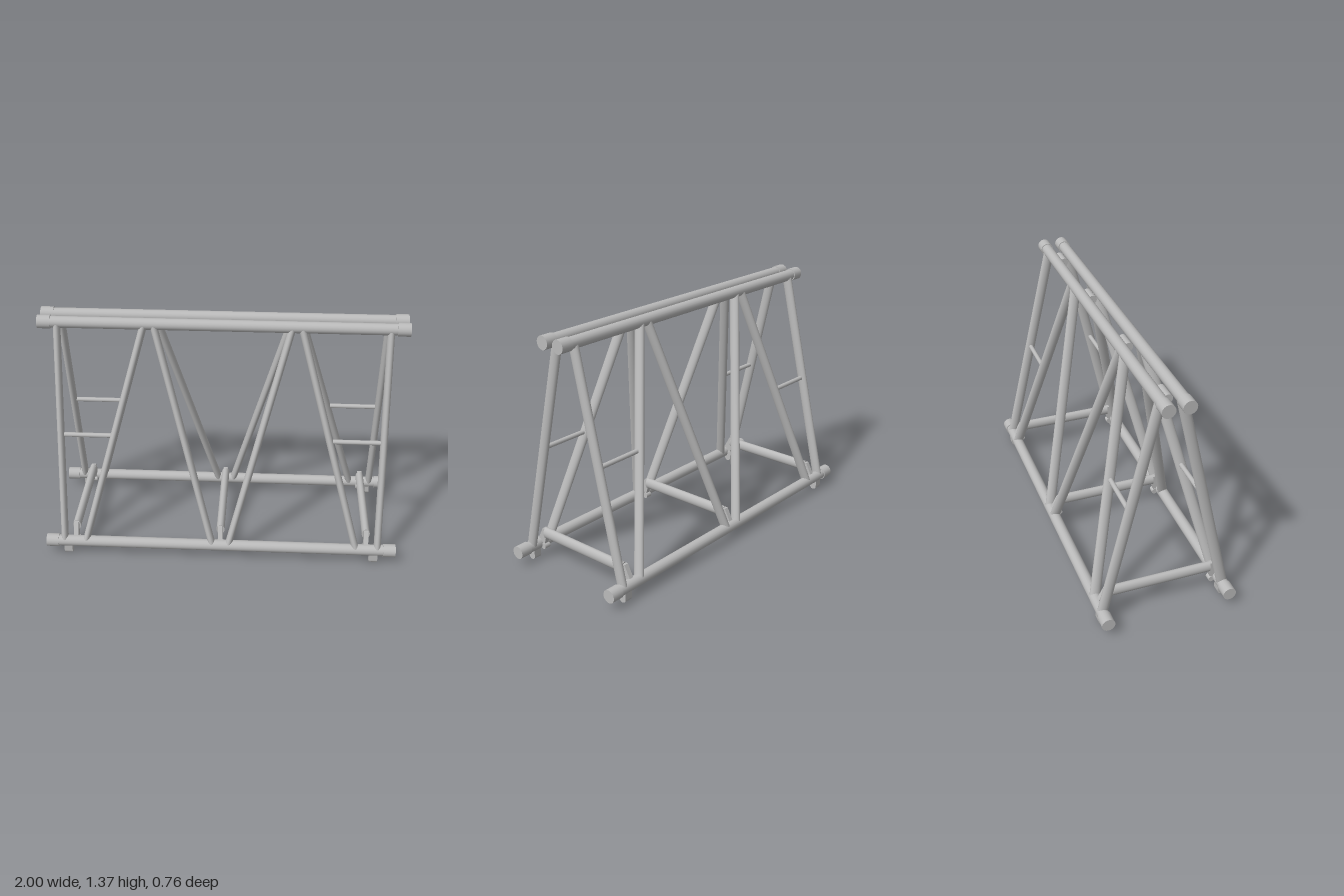
import * as THREE from 'three';

const steel = new THREE.MeshStandardMaterial({ color: 0xbababa });
steel.name = 'greySteel';

export function createModel() {
  const model = new THREE.Group();
  model.name = 'trussSection';

  const add = (name, geometry, parent = model) => {
    const mesh = new THREE.Mesh(geometry, steel);
    mesh.name = name;
    parent.add(mesh);
    return mesh;
  };

  // Oval tube from a to b: rw is the half width, rn the half depth along the normal
  const tube = (name, a, b, rw, rn, normal = new THREE.Vector3(0, 1, 0)) => {
    const dir = b.clone().sub(a);
    const geometry = new THREE.CylinderGeometry(1, 1, dir.length(), 18);
    geometry.scale(rw, 1, rn);
    dir.normalize();
    const z = normal.clone().addScaledVector(dir, -normal.dot(dir)).normalize();
    const x = dir.clone().cross(z);
    geometry.applyMatrix4(new THREE.Matrix4().makeBasis(x, dir, z));
    const mesh = add(name, geometry);
    mesh.position.copy(a).add(b).multiplyScalar(0.5);
    return mesh;
  };
  const v = (x, y, z) => new THREE.Vector3(x, y, z);

  const lowY = 0.08, highY = 1.333, lowZ = 0.345, highZ = 0.054;

  // Sloping side position at a given height
  const side = (x, y, s) =>
    v(x, y, s * THREE.MathUtils.mapLinear(y, lowY, highY, lowZ, highZ));

  for (const s of [1, -1]) {
    const normal = v(0, lowZ - highZ, s * (highY - lowY)).normalize();

    // Long chords with thicker end sleeves
    for (const [name, y] of [['topChord', highY], ['bottomChord', lowY]]) {
      tube(name, side(-0.94, y, s), side(0.94, y, s), 0.032, 0.032);
      for (const e of [1, -1])
        tube(name + 'Sleeve', side(e * 0.93, y, s), side(e, y, s), 0.037, 0.037);
    }

    for (const e of [1, -1]) {
      // End posts, diagonals and ladder rungs
      tube('endPost', side(e * 0.897, lowY, s), side(e * 0.897, highY, s), 0.02, 0.03, normal);
      tube('outerDiagonal', side(e * 0.775, lowY, s), side(e * 0.425, highY, s), 0.02, 0.03, normal);
      tube('innerDiagonal', side(e * 0.045, lowY, s), side(e * 0.375, highY, s), 0.02, 0.03, normal);
      tube('rung', side(e * 0.895, 0.71, s), side(e * 0.61, 0.71, s), 0.013, 0.013);

      // Round-bottomed feet
      const foot = new THREE.Group();
      foot.name = 'foot';
      foot.position.set(e * 0.878, 0, s * lowZ);
      const pad = add('footPad', new THREE.CylinderGeometry(0.022, 0.022, 0.047, 18), foot);
      pad.rotation.z = Math.PI / 2;
      pad.position.y = 0.022;
      add('footBlock', new THREE.BoxGeometry(0.047, 0.055, 0.044), foot).position.y = 0.0495;
      model.add(foot);
    }
  }

  // Cross bars with end brackets and pins
  const bracketShape = new THREE.Shape([
    [0.275, 0.18], [0.31, 0.18], [0.352, 0.1], [0.34, 0.075], [0.305, 0.065], [0.287, 0.13],
  ].map(([z, y]) => new THREE.Vector2(z, y)));
  const bracketGeometry = new THREE.ExtrudeGeometry(bracketShape, { depth: 0.026, bevelEnabled: false });
  bracketGeometry.translate(0, 0, -0.013);

  for (const x of [-0.832, 0, 0.832]) {
    tube('crossBar', v(x, 0.154, -0.295), v(x, 0.154, 0.295), 0.023, 0.032);
    for (const s of [1, -1]) {
      const bracket = add('crossBarBracket', bracketGeometry);
      bracket.position.x = x;
      bracket.rotation.y = -s * Math.PI / 2;
      tube('bracketPin', v(x - 0.018, 0.072, s * 0.305), v(x + 0.018, 0.072, s * 0.305), 0.017, 0.017);
    }
  }

  // Short spacers joining the two top chords
  for (const x of [-0.812, -0.285, 0.285, 0.812])
    tube('topSpacer', v(x - 0.049, 1.31, 0), v(x + 0.049, 1.31, 0), 0.025, 0.025);

  return model;
}
